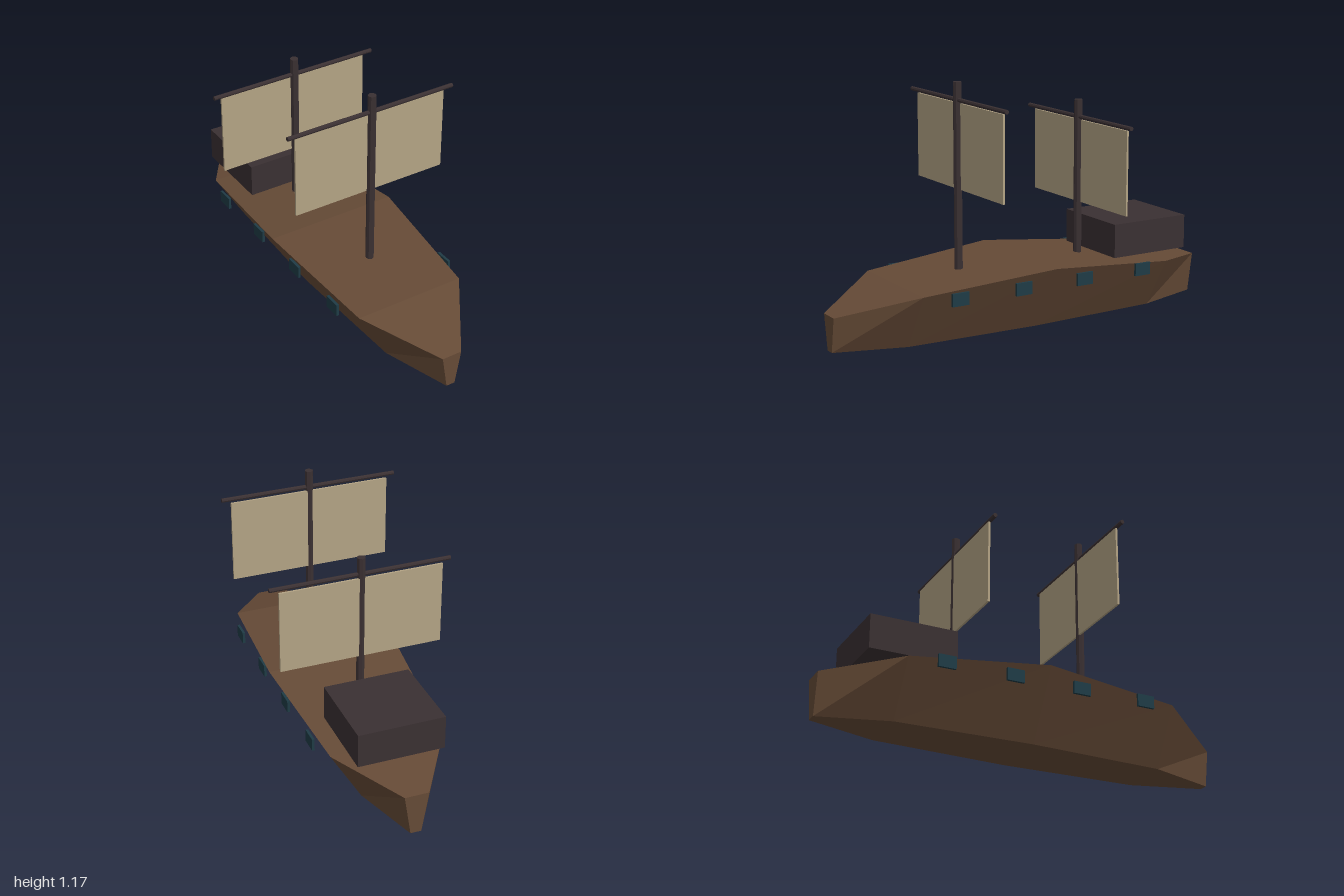
import * as THREE from 'three';

const mat = (name, color) => {
  const m = new THREE.MeshStandardMaterial({ color });
  m.name = name;
  return m;
};

// Hull lofted through four-cornered cross-sections
function hullGeometry() {
  // z, deck height, deck half width, keel half width
  const sections = [
    [1, 0.167, 0.05, 0.022],
    [0.667, 0.267, 0.275, 0.125],
    [0, 0.317, 0.331, 0.15],
    [-0.667, 0.252, 0.275, 0.125],
    [-1, 0.2, 0.058, 0.026],
  ];
  const rings = sections.map(([z, y, top, bottom]) => [
    [-bottom, 0, z], [bottom, 0, z], [top, y, z], [-top, y, z],
  ]);
  const pos = [];
  const quad = (a, b, c, d) => pos.push(...a, ...b, ...c, ...a, ...c, ...d);
  for (let i = 0; i < rings.length - 1; i++) {
    const f = rings[i], r = rings[i + 1];
    for (let k = 0; k < 4; k++) {
      const n = (k + 1) % 4;
      quad(f[k], r[k], r[n], f[n]);
    }
  }
  const [a, b, c, d] = rings[0];
  quad(a, b, c, d); // bow
  const [e, f, g, h] = rings[rings.length - 1];
  quad(f, e, h, g); // stern
  const geo = new THREE.BufferGeometry();
  geo.setAttribute('position', new THREE.Float32BufferAttribute(pos, 3));
  geo.computeVertexNormals();
  return geo;
}

export function createModel() {
  const ship = new THREE.Group();
  ship.name = 'sailingShip';

  const hullWood = mat('hullBrown', 0x654a36);
  const darkWood = mat('darkWood', 0x3a3032);
  const canvas = mat('sailCanvas', 0xb3a384);
  const portTeal = mat('portTeal', 0x1f3b45);
  darkWood.flatShading = true;

  const add = (parent, name, geo, material, x, y, z) => {
    const mesh = new THREE.Mesh(geo, material);
    mesh.name = name;
    mesh.position.set(x, y, z);
    parent.add(mesh);
    return mesh;
  };

  add(ship, 'hull', hullGeometry(), hullWood, 0, 0, 0);
  add(ship, 'sternCabin', new THREE.BoxGeometry(0.416, 0.164, 0.417), darkWood, 0, 0.368, -0.618);

  // Masts, each with a yard and a square sail
  const addRig = (name, z, base, top) => {
    const rig = new THREE.Group();
    rig.name = name;
    rig.position.z = z;
    const height = top - base;
    add(rig, 'mast', new THREE.CylinderGeometry(0.02, 0.02, height, 8), darkWood, 0, base + height / 2, 0);
    const yard = add(rig, 'yard', new THREE.CylinderGeometry(0.0105, 0.0105, 0.868, 8), darkWood, 0, top - 0.083, 0);
    yard.rotation.z = Math.PI / 2;
    add(rig, 'sail', new THREE.BoxGeometry(0.784, 0.402, 0.01), canvas, 0, top - 0.3, -0.01);
    ship.add(rig);
  };
  addRig('foreRig', 0.333, 0.288, 1.169);
  addRig('aftRig', -0.333, 0.275, 1.036);

  // Four port lids along each side
  for (const side of [1, -1]) {
    for (const z of [0.5, 0.167, -0.167, -0.5]) {
      add(ship, side > 0 ? 'leftPort' : 'rightPort',
        new THREE.BoxGeometry(0.0125, 0.06, 0.085), portTeal, side * 0.309, 0.243, z);
    }
  }

  return ship;
}
